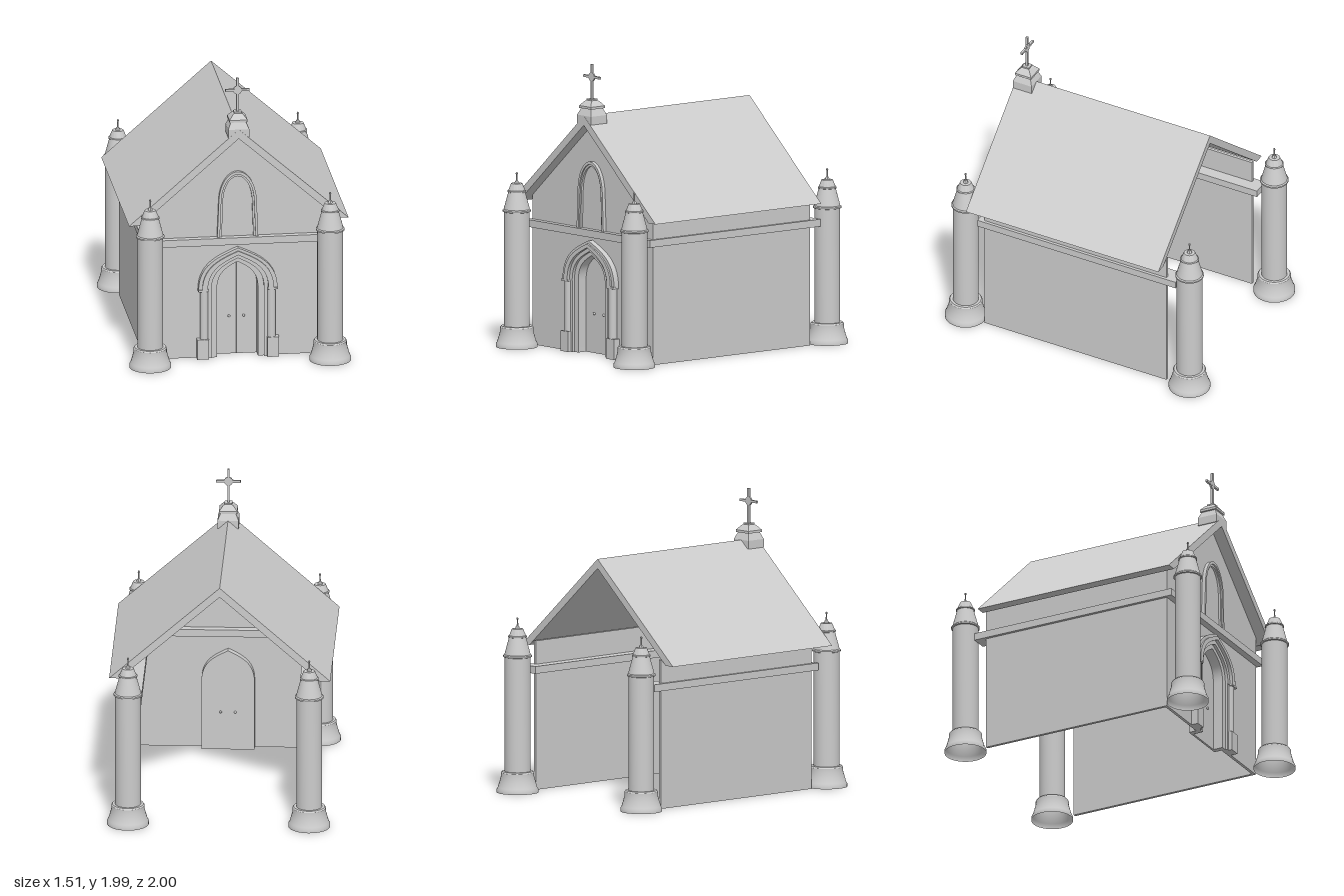
import * as THREE from 'three';
import { toCreasedNormals } from 'three/addons/utils/BufferGeometryUtils.js';

const material = new THREE.MeshStandardMaterial({ color: 0xcccccc, side: THREE.DoubleSide });

function add(parent, name, geometry, x = 0, y = 0, z = 0) {
  const mesh = new THREE.Mesh(geometry, material);
  mesh.name = name;
  mesh.position.set(x, y, z);
  parent.add(mesh);
  return mesh;
}

// Box given by its limits on each axis
function addBox(parent, name, [x0, x1], [y0, y1], [z0, z1]) {
  return add(parent, name, new THREE.BoxGeometry(x1 - x0, y1 - y0, z1 - z0),
    (x0 + x1) / 2, (y0 + y1) / 2, (z0 + z1) / 2);
}

function addExtrusion(parent, name, shape, z0, z1) {
  const g = new THREE.ExtrudeGeometry(shape, { depth: z1 - z0, bevelEnabled: false, curveSegments: 14 });
  return add(parent, name, toCreasedNormals(g, 0.6), 0, 0, z0);
}

function lathe(points, segments) {
  return toCreasedNormals(
    new THREE.LatheGeometry(points.map(([r, y]) => new THREE.Vector2(r, y)), segments), 0.6);
}

// Square stack of tapering steps, aligned with the axes
function squareLathe(points) {
  const profile = points.map(([half, y]) => new THREE.Vector2(half * Math.SQRT2, y));
  return toCreasedNormals(new THREE.LatheGeometry(profile, 4, Math.PI / 4), 0.2);
}

// Half of a pointed arch as a cubic curve from springing to apex; round sets the fullness
function archCurve(w, spring, apex, side, round) {
  const h = apex - spring;
  return new THREE.CubicBezierCurve(
    new THREE.Vector2(side * w, spring),
    new THREE.Vector2(side * w, spring + h * 0.62),
    new THREE.Vector2(side * w * 0.5, apex - h * (1 - round) * 0.4),
    new THREE.Vector2(0, apex));
}

function archPoints({ w, foot = w, base, spring, apex, round = 0.5 }) {
  const right = archCurve(w, spring, apex, 1, round).getPoints(14);
  const left = archCurve(w, spring, apex, -1, round).getPoints(14).reverse().slice(1);
  const pts = [...right, ...left];
  if (base < spring) {
    pts.unshift(new THREE.Vector2(foot, base));
    pts.push(new THREE.Vector2(-foot, base));
  }
  return pts;
}

// Band between two arches, open at the foot
function archBand(outer, inner) {
  return new THREE.Shape([...archPoints(outer), ...archPoints(inner).reverse()]);
}

function cornerTower() {
  const tower = new THREE.Group();
  tower.name = 'cornerTower';
  add(tower, 'towerBase', lathe([[0.142, 0], [0.142, 0.022], [0.134, 0.035], [0.122, 0.075],
    [0.113, 0.11], [0.113, 0.135], [0.106, 0.145], [0.088, 0.145]], 32));
  add(tower, 'towerShaft', lathe([[0.088, 0.14], [0.088, 0.925], [0.097, 0.928],
    [0.097, 0.938], [0.088, 0.945]], 32));
  add(tower, 'towerCone', lathe([[0.09, 0.94], [0.058, 1.06], [0.064, 1.062],
    [0.064, 1.07], [0.057, 1.074], [0.038, 1.12], [0, 1.12]], 32));
  add(tower, 'towerSpike', lathe([[0.018, 1.12], [0.012, 1.135], [0.006, 1.14], [0.004, 1.18],
    [0.008, 1.185], [0.007, 1.193], [0, 1.197]], 6));
  return tower;
}

export function createModel() {
  const chapel = new THREE.Group();
  chapel.name = 'chapel';

  // Roof: two slopes, open at the back
  addExtrusion(chapel, 'roof', new THREE.Shape([[0.75, 0.985], [0, 1.645], [-0.75, 0.985],
    [-0.677, 0.985], [0, 1.58], [0.677, 0.985]].map(p => new THREE.Vector2(...p))), -0.69, 0.785);

  // Front gable wall with the doorway cut out
  const gable = new THREE.Shape([[-0.163, 0], [-0.63, 0], [-0.63, 1.025], [0, 1.58], [0.63, 1.025],
    [0.63, 0], [0.163, 0]].map(p => new THREE.Vector2(...p))
    .concat(archPoints({ w: 0.163, base: 0.5, spring: 0.5, apex: 0.695 })));
  addExtrusion(chapel, 'frontWall', gable, 0.685, 0.705);

  // Side walls and the string course
  for (const s of [-1, 1]) {
    const span = (a, b) => [Math.min(s * a, s * b), Math.max(s * a, s * b)];
    addBox(chapel, 'sideWall', span(0.61, 0.63), [0, 1.02], [-0.69, 0.69]);
    addBox(chapel, 'sideLedge', span(0.53, 0.65), [0.81, 0.86], [-0.77, 0.75]);
  }
  addBox(chapel, 'frontLedge', [-0.53, 0.53], [0.81, 0.86], [0.63, 0.75]);

  // Corner towers
  for (const x of [-0.615, 0.615]) {
    for (const z of [-0.858, 0.858]) {
      const tower = cornerTower();
      tower.position.set(x, 0, z);
      chapel.add(tower);
    }
  }

  // Doorway: stepped arch orders, the innermost running to the ground
  const doorway = new THREE.Group();
  doorway.name = 'doorway';
  chapel.add(doorway);
  const order = (w, apex, base = 0.49) => ({ w, base, spring: 0.49, apex });
  const orders = [
    [0.27, 0.785, 0.245, 0.765, 0.7, 0.745],
    [0.245, 0.765, 0.208, 0.738, 0.7, 0.757],
    [0.208, 0.738, 0.18, 0.71, 0.7, 0.735]];
  for (const [w0, a0, w1, a1, z0, z1] of orders) {
    addExtrusion(doorway, 'archMoulding', archBand(order(w0, a0), order(w1, a1)), z0, z1);
  }
  addExtrusion(doorway, 'doorFrame',
    archBand(order(0.18, 0.71, 0), order(0.14, 0.68, 0)), 0.63, 0.715);

  // Door leaves, jamb columns and handles
  for (const s of [-1, 1]) {
    const leaf = new THREE.Shape([new THREE.Vector2(0.001, 0), new THREE.Vector2(0.14, 0),
      ...archCurve(0.14, 0.49, 0.68, 1, 0.5).getPoints(14).slice(0, -1),
      new THREE.Vector2(0.001, 0.68)]);
    addExtrusion(doorway, 'doorLeaf', leaf, 0.63, 0.645).scale.x = s;
    add(doorway, 'doorHandle', new THREE.SphereGeometry(0.009, 10, 8), s * 0.05, 0.27, 0.65);
    add(doorway, 'doorHandle', new THREE.SphereGeometry(0.009, 10, 8), s * 0.05, 0.27, 0.625);
    add(doorway, 'jambColumn', new THREE.CylinderGeometry(0.028, 0.028, 0.35, 20), s * 0.23, 0.315, 0.722);
    add(doorway, 'innerJamb', new THREE.BoxGeometry(0.022, 0.49, 0.03), s * 0.191, 0.245, 0.715);
    add(doorway, 'jambBase', new THREE.BoxGeometry(0.08, 0.14, 0.055), s * 0.24, 0.07, 0.7275);
    add(doorway, 'jambCapital', new THREE.BoxGeometry(0.07, 0.014, 0.055), s * 0.237, 0.489, 0.7275);
  }

  // Blind window in the gable: raised double moulding
  const window = (w, foot, apex) => ({ w, foot, base: 0.86, spring: 1.1, apex, round: 1 });
  addExtrusion(chapel, 'windowMoulding',
    archBand(window(0.13, 0.14, 1.325), window(0.113, 0.122, 1.305)), 0.7, 0.73);
  addExtrusion(chapel, 'windowInnerMoulding',
    archBand(window(0.113, 0.122, 1.305), window(0.1, 0.108, 1.29)), 0.7, 0.72);

  // Ridge pedestal with its cross
  const finial = new THREE.Group();
  finial.name = 'ridgeFinial';
  finial.position.z = 0.712;
  chapel.add(finial);
  add(finial, 'pedestal', squareLathe([[0, 1.588], [0.072, 1.588], [0.072, 1.645], [0.052, 1.69],
    [0.062, 1.692], [0.062, 1.708], [0.035, 1.74], [0.026, 1.745], [0.026, 1.755], [0, 1.755]]));
  add(finial, 'crossPost', new THREE.BoxGeometry(0.016, 0.24, 0.016), 0, 1.872, 0);
  add(finial, 'crossArm', new THREE.BoxGeometry(0.166, 0.016, 0.016), 0, 1.905, 0);
  add(finial, 'crossDisc', new THREE.CylinderGeometry(0.03, 0.03, 0.012, 20).rotateX(Math.PI / 2), 0, 1.905, 0);

  return chapel;
}
